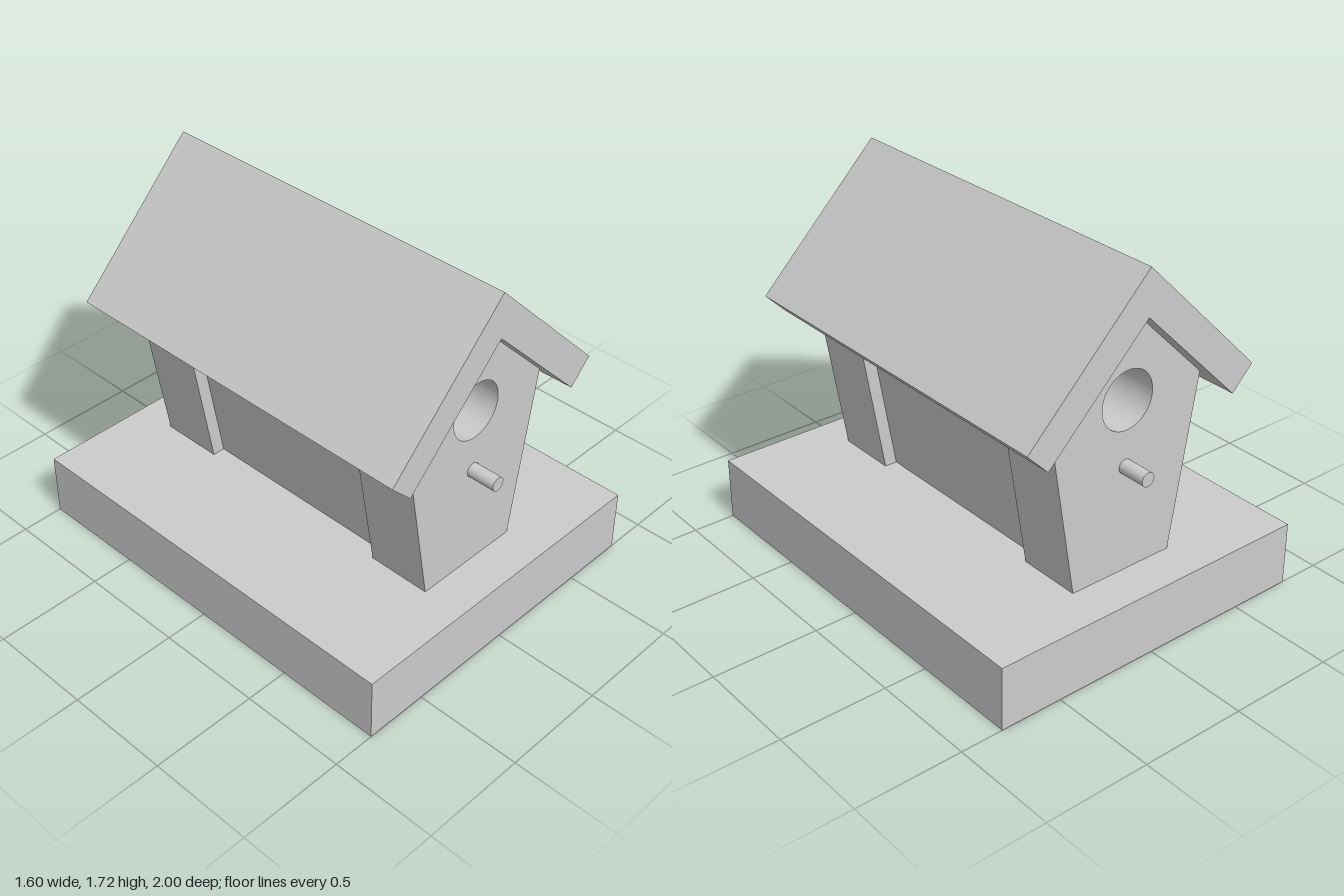
import * as THREE from 'three';

const material = new THREE.MeshStandardMaterial({ color: 0xcccccc, side: THREE.DoubleSide });

// Extrudes an outline (optionally pierced by a round hole) between two depths
function slab(name, points, z0, z1, hole) {
  const shape = new THREE.Shape(points.map(([x, y]) => new THREE.Vector2(x, y)));
  if (hole) {
    const path = new THREE.Path();
    path.absarc(0, hole.y, hole.r, 0, Math.PI * 2, true);
    shape.holes.push(path);
  }
  const geometry = new THREE.ExtrudeGeometry(shape, { depth: z1 - z0, bevelEnabled: false, curveSegments: 32 });
  geometry.translate(0, 0, z0);
  const mesh = new THREE.Mesh(geometry, material);
  mesh.name = name;
  return mesh;
}

export function createModel() {
  const group = new THREE.Group();
  group.name = 'birdhouse';

  // Base block
  const base = new THREE.Mesh(new THREE.BoxGeometry(1.6, 0.3, 2), material);
  base.name = 'base';
  base.position.y = 0.15;
  group.add(base);

  // Pitched roof
  group.add(slab('roof', [
    [0, 1.715], [-0.6, 1.115], [-0.495, 1.008], [0, 1.503], [0.495, 1.008], [0.6, 1.115],
  ], -0.9, 0.9));

  // Thick gable ends with an entrance hole
  const gable = [[-0.265, 0.3], [0.265, 0.3], [0.4, 1.103], [0, 1.503], [-0.4, 1.103]];
  const entrance = { y: 1.105, r: 0.135 };
  group.add(slab('frontGable', gable, 0.5, 0.8, entrance));
  group.add(slab('backGable', gable, -0.8, -0.5, entrance));

  // Leaning side walls, set in from the gables
  for (const side of [1, -1]) {
    const wall = [[0.105, 0.3], [0.205, 0.3], [0.349, 1.154], [0.263, 1.24]];
    group.add(slab(side > 0 ? 'leftWall' : 'rightWall', wall.map(([x, y]) => [side * x, y]), -0.5, 0.5));
  }

  // Perches below the holes
  for (const side of [1, -1]) {
    const perch = new THREE.Mesh(new THREE.CylinderGeometry(0.033, 0.033, 0.14, 32), material);
    perch.name = side > 0 ? 'frontPerch' : 'backPerch';
    perch.rotation.x = Math.PI / 2;
    perch.position.set(0, 0.803, side * 0.865);
    group.add(perch);
  }
  return group;
}
